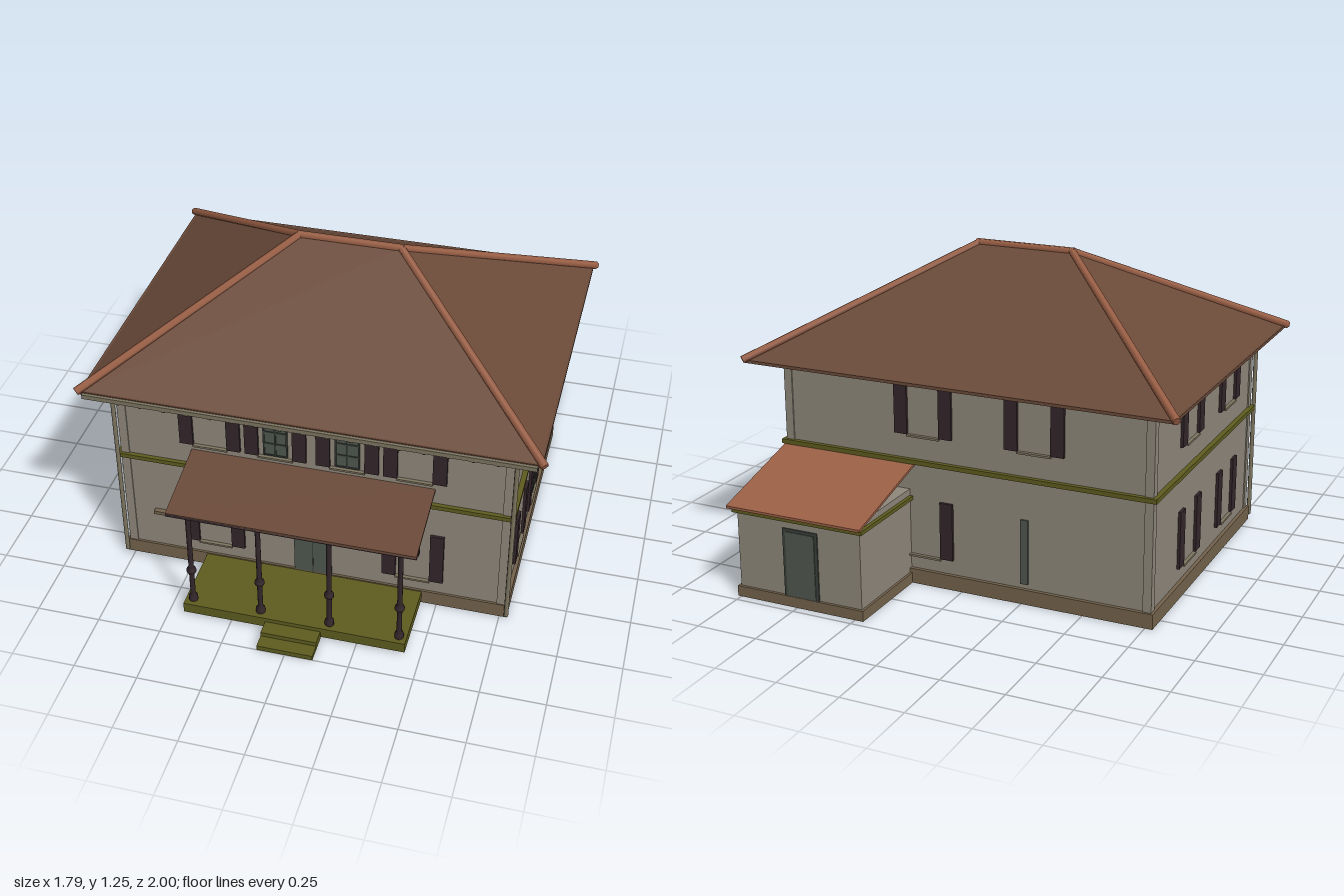
import * as THREE from 'three';

const mat = (name, color) => {
  const m = new THREE.MeshStandardMaterial({ color });
  m.name = name;
  return m;
};

export function createModel() {
  const house = new THREE.Group();
  house.name = 'house';
  const M = {
    wall: mat('plaster', 0x8f887b),
    base: mat('stone base', 0x74634c),
    green: mat('olive trim', 0x5e5c1f),
    roof: mat('roof tiles', 0x6a4a39),
    ridge: mat('terracotta', 0x9a5f45),
    dark: mat('dark wood', 0x33262a),
    glass: mat('grey green glass', 0x50574f),
    frame: mat('dark frame', 0x3a403b),
    pipe: mat('pipe tan', 0x7d7560),
  };

  const add = (parent, name, geo, m, x = 0, y = 0, z = 0) => {
    const mesh = new THREE.Mesh(geo, m);
    mesh.name = name;
    mesh.position.set(x, y, z);
    parent.add(mesh);
    return mesh;
  };
  // Box given by its limits on each axis
  const box = (parent, name, m, x0, x1, y0, y1, z0, z1) =>
    add(parent, name, new THREE.BoxGeometry(x1 - x0, y1 - y0, z1 - z0), m,
      (x0 + x1) / 2, (y0 + y1) / 2, (z0 + z1) / 2);
  // Square or round bar between two points
  const bar = (parent, name, m, a, b, r, sides = 6) => {
    const p = new THREE.Vector3(...a), d = new THREE.Vector3(...b).sub(p);
    const mesh = add(parent, name, new THREE.CylinderGeometry(r, r, d.length(), sides), m);
    mesh.position.copy(p).addScaledVector(d, 0.5);
    mesh.quaternion.setFromUnitVectors(new THREE.Vector3(0, 1, 0), d.normalize());
    return mesh;
  };
  // Sloping slab: a box sheared in y along z
  const slope = (parent, name, m, x0, x1, z0, y0, z1, y1, t) => {
    const geo = new THREE.BoxGeometry(x1 - x0, t, z1 - z0);
    const p = geo.attributes.position;
    for (let i = 0; i < p.count; i++)
      p.setY(i, p.getY(i) + (p.getZ(i) / (z1 - z0)) * (y1 - y0));
    geo.computeVertexNormals();
    return add(parent, name, geo, m, (x0 + x1) / 2, (y0 + y1) / 2, (z0 + z1) / 2);
  };

  // Main body
  box(house, 'base', M.base, -0.78, 0.78, 0, 0.06, -0.585, 0.592);
  box(house, 'walls', M.wall, -0.765, 0.765, 0.06, 0.848, -0.57, 0.583);
  box(house, 'floorBand', M.green, -0.785, 0.785, 0.494, 0.512, -0.588, 0.6);
  for (const sx of [-1, 1]) for (const z of [-0.558, 0.571]) {
    box(house, 'cornerPilaster', M.wall, sx * 0.753 - 0.017, sx * 0.753 + 0.017, 0.06, 0.845, z - 0.017, z + 0.017);
  }

  // Hipped roof: a box whose top is drawn in to the ridge line
  const rg = new THREE.BoxGeometry(1.75, 0.395, 1.36);
  const rp = rg.attributes.position;
  for (let i = 0; i < rp.count; i++) if (rp.getY(i) > 0) {
    rp.setX(i, Math.sign(rp.getX(i)) * 0.2);
    rp.setZ(i, 0);
  }
  rg.computeVertexNormals();
  add(house, 'roof', rg, M.roof, 0, 1.0425, 0);
  box(house, 'eaves', M.roof, -0.875, 0.875, 0.838, 0.85, -0.68, 0.68);
  bar(house, 'ridgeCap', M.ridge, [-0.21, 1.238, 0], [0.21, 1.238, 0], 0.016);
  for (const sx of [-1, 1]) for (const sz of [-1, 1])
    bar(house, 'hipCap', M.ridge, [sx * 0.2, 1.238, 0], [sx * 0.885, 0.851, sz * 0.685], 0.016);

  // Front gutter, its brackets and the downpipes
  box(house, 'gutter', M.pipe, -0.86, 0.86, 0.828, 0.846, 0.675, 0.693);
  for (let i = -8; i <= 8; i++)
    box(house, 'gutterBracket', M.dark, i * 0.09 - 0.006, i * 0.09 + 0.006, 0.822, 0.838, 0.59, 0.69);
  for (const sx of [-1, 1]) {
    bar(house, 'downpipe', M.pipe, [sx * 0.778, 0.02, 0.603], [sx * 0.778, 0.83, 0.603], 0.009, 8);
    bar(house, 'pipeElbow', M.pipe, [sx * 0.778, 0.825, 0.603], [sx * 0.8, 0.838, 0.68], 0.009, 8);
  }

  // Facades: local x runs to the right, local z points outward
  const facade = (name, x, z, turn) => {
    const g = new THREE.Group();
    g.name = name;
    g.position.set(x, 0, z);
    g.rotation.y = turn;
    house.add(g);
    return g;
  };
  const pane = (g, x0, x1, y0, y1, cols, rows) => {
    box(g, 'windowPane', M.glass, x0, x1, y0, y1, -0.003, 0.003);
    for (let i = 0; i <= cols; i++) {
      const x = x0 + (x1 - x0) * i / cols;
      box(g, 'mullion', M.frame, x - 0.003, x + 0.003, y0, y1, 0, 0.007);
    }
    for (let i = 0; i <= rows; i++) {
      const y = y0 + (y1 - y0) * i / rows;
      box(g, 'glazingBar', M.frame, x0, x1, y - 0.003, y + 0.003, 0, 0.006);
    }
  };
  const shutteredWindow = (g, x, upper, glazed) => {
    const [y0, y1] = upper ? [0.61, 0.836] : [0.12, 0.352];
    for (const s of [-1, 1])
      box(g, 'shutter', M.dark, x + s * 0.094 - 0.027, x + s * 0.094 + 0.027, y0, y1, 0, 0.011);
    box(g, 'sill', M.pipe, x - 0.068, x + 0.068, y0 - 0.008, y0, 0, 0.014);
    if (glazed) pane(g, x - 0.045, x + 0.045, y0 + 0.008, y1, 2, 4);
  };

  const front = facade('frontFacade', 0, 0.584, 0);
  for (const s of [-1, 1]) {
    shutteredWindow(front, s * 0.4, false, false);
    shutteredWindow(front, s * 0.4, true, false);
    shutteredWindow(front, s * 0.14, true, true);
  }
  box(front, 'frontDoor', M.glass, -0.075, 0.075, 0.055, 0.37, 0, 0.008);
  box(front, 'doorTransom', M.glass, -0.075, 0.075, 0.375, 0.425, 0, 0.006);
  box(front, 'doorLintel', M.frame, -0.075, 0.075, 0.368, 0.377, 0, 0.01);
  box(front, 'doorSplit', M.frame, -0.002, 0.002, 0.055, 0.368, 0, 0.01);
  box(front, 'wallLamp', M.base, -0.65, -0.59, 0.23, 0.245, 0, 0.02);

  const left = facade('leftFacade', 0.766, 0, Math.PI / 2);
  shutteredWindow(left, -0.3, true, false);
  shutteredWindow(left, -0.065, true, true);
  shutteredWindow(left, 0.175, true, true);
  shutteredWindow(left, -0.295, false, false);
  shutteredWindow(left, 0.03, false, false);
  pane(left, 0.03, 0.08, 0.125, 0.348, 1, 4);

  const right = facade('rightFacade', -0.766, 0, -Math.PI / 2);
  for (const upper of [true, false]) for (const x of [-0.17, 0.28])
    shutteredWindow(right, x, upper, false);

  const back = facade('backFacade', 0, -0.571, Math.PI);
  shutteredWindow(back, -0.16, true, false);
  shutteredWindow(back, 0.3, true, false);
  shutteredWindow(back, -0.16, false, false);
  box(back, 'narrowWindow', M.glass, 0.245, 0.275, 0.08, 0.34, 0, 0.008);

  // Rear annex
  const annex = new THREE.Group();
  annex.name = 'annex';
  house.add(annex);
  box(annex, 'annexBase', M.base, 0.215, 0.765, 0, 0.042, -0.968, -0.58);
  box(annex, 'annexWalls', M.wall, 0.225, 0.755, 0.042, 0.385, -0.957, -0.565);
  box(annex, 'annexBand', M.green, 0.21, 0.77, 0.345, 0.36, -0.972, -0.575);
  slope(annex, 'annexRoof', M.ridge, 0.2, 0.775, -1, 0.375, -0.54, 0.5, 0.01);
  const annexSide = facade('annexSide', 0.756, 0, Math.PI / 2);
  pane(annexSide, 0.722, 0.862, 0.118, 0.282, 3, 3);
  box(annexSide, 'annexSill', M.dark, 0.715, 0.87, 0.11, 0.118, 0, 0.012);
  box(annexSide, 'tap', M.dark, 0.865, 0.912, 0.137, 0.147, 0, 0.02);
  const annexBack = facade('annexBack', 0.48, -0.958, Math.PI);
  box(annexBack, 'backDoorFrame', M.frame, -0.075, 0.075, 0.042, 0.315, 0, 0.005);
  box(annexBack, 'backDoor', M.glass, -0.062, 0.062, 0.042, 0.303, 0, 0.008);

  // Front porch
  const porch = new THREE.Group();
  porch.name = 'porch';
  house.add(porch);
  box(porch, 'platform', M.green, -0.44, 0.44, 0.012, 0.055, 0.585, 0.885);
  box(porch, 'upperStep', M.green, -0.11, 0.11, 0.005, 0.038, 0.885, 0.945);
  box(porch, 'lowerStep', M.green, -0.11, 0.11, 0, 0.02, 0.885, 1);
  slope(porch, 'porchRoof', M.roof, -0.478, 0.478, 0.584, 0.575, 0.9, 0.515, 0.01);
  box(porch, 'porchBeam', M.dark, -0.478, 0.478, 0.49, 0.51, 0.84, 0.862);
  box(porch, 'porchFascia', M.dark, -0.478, 0.478, 0.505, 0.52, 0.886, 0.9);
  // Turned column profile
  const profile = [[0.018, 0.055], [0.018, 0.075], [0.01, 0.085], [0.01, 0.19], [0.019, 0.2],
    [0.019, 0.212], [0.01, 0.225], [0.01, 0.475], [0.018, 0.488], [0.018, 0.5]]
    .map(([r, y]) => new THREE.Vector2(r, y));
  for (const x of [-0.41, -0.137, 0.137, 0.41]) {
    const post = add(porch, 'column', new THREE.LatheGeometry(profile, 10), M.dark, x, 0, 0.85);
    post.material.side = THREE.DoubleSide;
    box(porch, 'wallBracket', M.dark, x - 0.008, x + 0.008, 0.52, 0.534, 0.584, 0.72);
  }
  return house;
}
